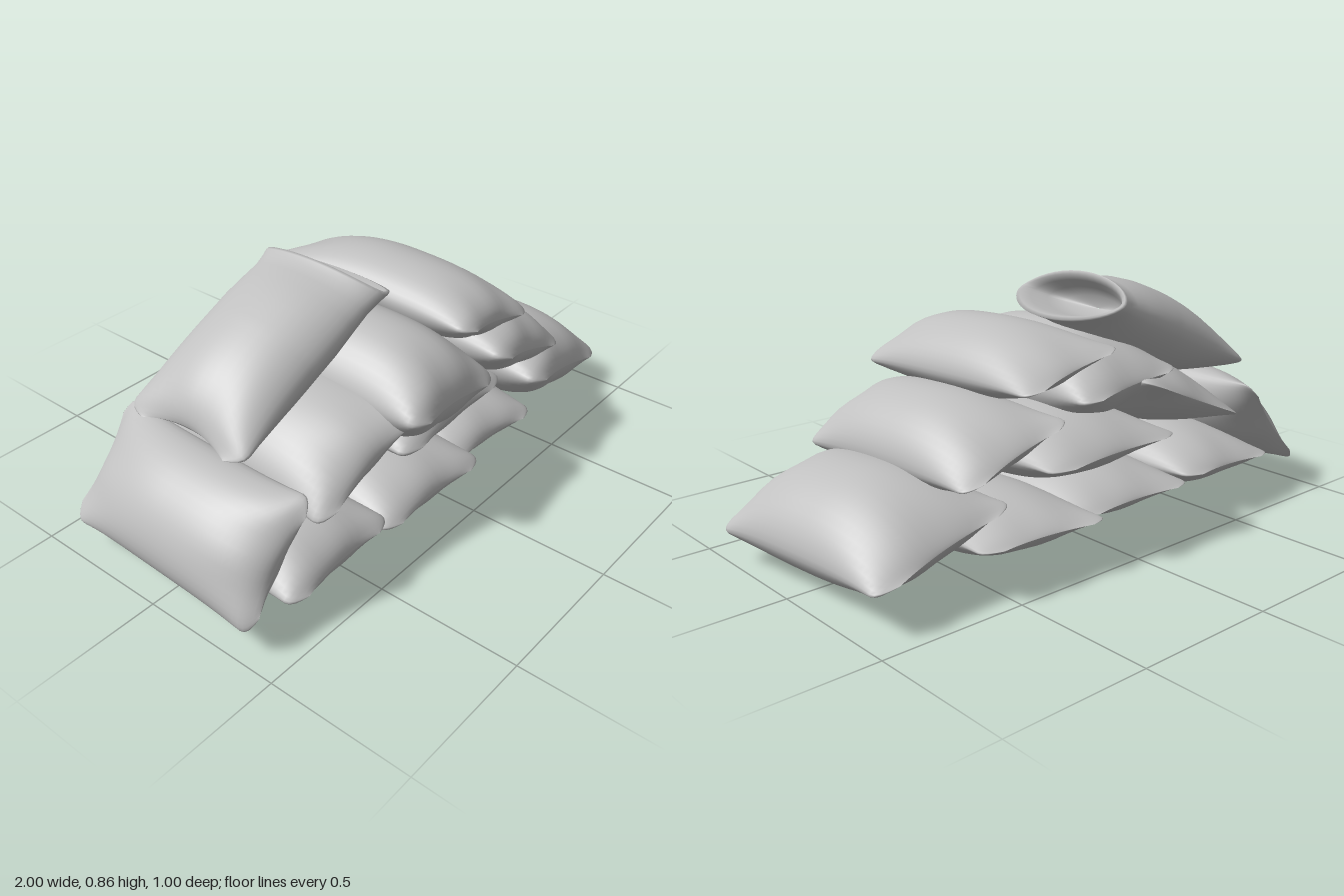
import * as THREE from 'three';

const SIDES = 40;

// Skin a list of rings (arrays of [x, y, z]) running along +z
function loft(rings) {
  const pos = [], idx = [];
  rings.forEach(r => r.forEach(p => pos.push(...p)));
  for (let i = 0; i < rings.length - 1; i++) {
    for (let j = 0; j < SIDES; j++) {
      const a = i * SIDES + j, b = i * SIDES + (j + 1) % SIDES;
      idx.push(a, b, a + SIDES, b, b + SIDES, a + SIDES);
    }
  }
  const g = new THREE.BufferGeometry();
  g.setAttribute('position', new THREE.Float32BufferAttribute(pos, 3));
  g.setIndex(idx);
  g.computeVertexNormals();
  return g;
}

// One lens-shaped ring; lean pushes the top forward and the bottom back
function ring(w, h, z, lean = 0, bow = 0, seed = 0, pucker = 0) {
  return Array.from({ length: SIDES }, (_, j) => {
    const t = j / SIDES * Math.PI * 2, c = Math.cos(t), s = Math.sin(t);
    const fold = 1 + pucker * Math.sin(c * 8 + seed);
    return [c * w, s * Math.abs(s) ** 0.15 * h * fold, z + s * lean + bow * c * c];
  });
}

// Half width along the bag: slight waist, eared and rounded corners
function widthAt(v) {
  const a = Math.abs(v);
  const corner = a > 0.86 ? Math.sqrt(1 - 0.5 * ((a - 0.86) / 0.14) ** 4) : 1;
  return (0.94 + 0.07 * a ** 4) * corner;
}

// Half height along the bag: blunt front, tapering back
function heightAt(v) {
  return v > 0 ? (1 - v ** 3) ** 0.55 : (1 - Math.abs(v) ** 2.2) ** 0.8;
}

function closedBag(w, h, len, seed) {
  const rings = [], n = 36;
  for (let i = 0; i <= n; i++) {
    const v = -Math.cos(i / n * Math.PI);
    rings.push(ring(w * widthAt(v), h * heightAt(v), v * len, 0,
      len * 0.05 * v ** 5, seed, 0.09 * v ** 4));
  }
  return loft(rings);
}

// Sack with a gaping mouth: outer skin, lip, then inner lining
function openBag(w, h, len) {
  const rings = [], n = 18;
  for (let i = 0; i <= n; i++) {
    const v = -Math.cos(i / n * Math.PI / 2);
    rings.push(ring(w * widthAt(v), h * (1 - Math.abs(v) ** 2.5) ** 0.6, v * len, 0, 0.04 * v ** 5, 1, 0.08 * v ** 4));
  }
  // [position, width, height, lean]
  [[0.25, 0.95, 0.97, 0], [0.5, 0.94, 0.88, -0.01], [0.7, 0.94, 0.76, -0.03],
    [0.85, 0.97, 0.7, -0.045], [0.96, 1.0, 0.72, -0.06], [1.0, 0.99, 0.72, -0.065],
    [0.99, 0.94, 0.62, -0.06], [0.9, 0.85, 0.52, -0.05], [0.75, 0.72, 0.42, -0.03],
    [0.6, 0.55, 0.28, -0.01], [0.52, 0.01, 0.01, 0]]
    .forEach(([p, a, b, lean]) => rings.push(ring(w * a, h * b, p * len, lean, -0.02 * p ** 3)));
  return loft(rings);
}

export function createModel() {
  const group = new THREE.Group();
  const cloth = new THREE.MeshStandardMaterial({ color: 0xc0c0c0 });
  cloth.name = 'greyCloth';

  // name, centre x y z, half width, half height, half length, roll, pitch, yaw
  const bags = [
    ['bottomLeftBag', -0.6, 0.14, 0.02, 0.24, 0.13, 0.39, 0.04, 0.03, 0.03],
    ['bottomMiddleBag', -0.12, 0.13, 0.02, 0.26, 0.12, 0.4, 0, 0.04, -0.02],
    ['bottomRightBag', 0.33, 0.13, -0.05, 0.24, 0.115, 0.41, 0, 0.1, -0.08],
    ['bottomEndBag', 0.72, 0.19, 0.0, 0.275, 0.17, 0.39, -0.24, 0.03, 0.07],
    ['secondLeftBag', -0.43, 0.42, 0.02, 0.25, 0.125, 0.39, 0.4, 0.03, -0.04],
    ['secondMiddleBag', 0.03, 0.33, -0.02, 0.3, 0.13, 0.39, 0, 0.04, 0.05],
    ['secondRightBag', 0.44, 0.41, 0.0, 0.225, 0.145, 0.4, -0.3, 0.04, 0.03],
    ['thirdMiddleBag', -0.13, 0.51, 0.08, 0.23, 0.19, 0.4, -0.1, 0.03, 0.04],
    ['thirdRightBag', 0.21, 0.63, 0.0, 0.205, 0.12, 0.4, -0.22, 0.04, 0.02],
    ['leaningEndBag', -0.83, 0.27, 0.0, 0.22, 0.13, 0.39, 0.88, 0, -0.03],
  ];
  bags.forEach(([name, x, y, z, w, h, len, roll, pitch, yaw], i) => {
    const bag = new THREE.Mesh(closedBag(w, h, len, i * 1.7), cloth);
    bag.name = name;
    bag.position.set(x, y, z);
    bag.rotation.set(pitch, yaw, roll, 'YXZ');
    group.add(bag);
  });

  // Open sack lying across the top
  const sack = new THREE.Mesh(openBag(0.25, 0.14, 0.36), cloth);
  sack.name = 'openTopBag';
  sack.position.set(-0.42, 0.65, -0.05);
  sack.rotation.set(0, Math.PI / 2, 0.42, 'ZYX');
  group.add(sack);
  return group;
}
